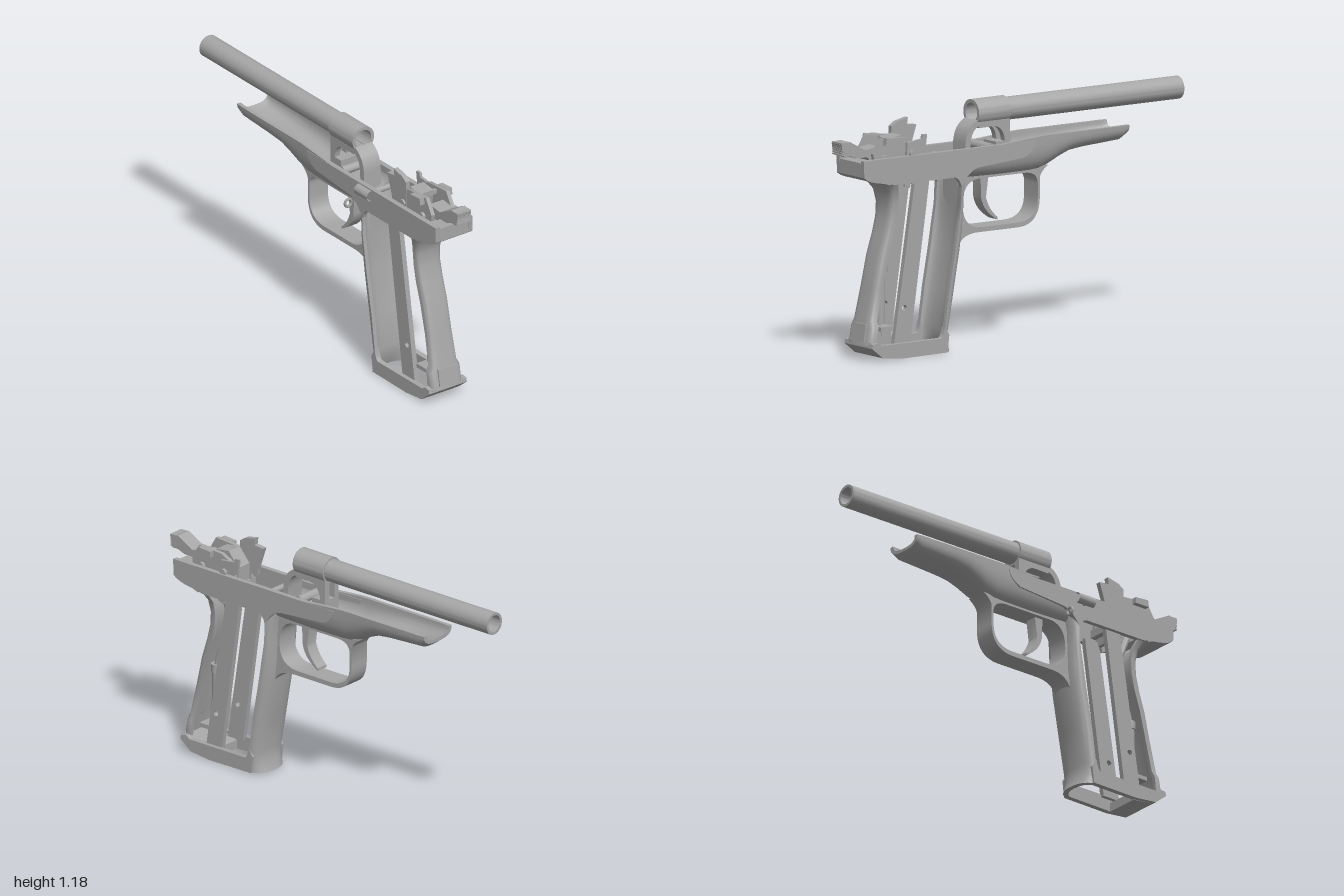
import * as THREE from 'three';
import { toCreasedNormals } from 'three/addons/utils/BufferGeometryUtils.js';

const CX = 0.02; // middle plane of the body
const steel = new THREE.MeshStandardMaterial({ color: 0xa6a6a6, side: THREE.DoubleSide });
steel.name = 'grey steel';

export function createModel() {
  const group = new THREE.Group();
  group.name = 'pistolFrame';

  const add = (name, geo, crease = 0.6) => {
    const m = new THREE.Mesh(toCreasedNormals(geo, crease), steel);
    m.name = name;
    group.add(m);
    return m;
  };

  // Outline in (z, y): [z, y] is a line, [cz, cy, z, y] a quadratic curve
  const trace = (path, pts) => {
    pts.forEach((p, i) => {
      if (i === 0) path.moveTo(p[0], p[1]);
      else if (p.length === 2) path.lineTo(p[0], p[1]);
      else path.quadraticCurveTo(...p);
    });
    path.closePath();
    return path;
  };

  // Side outline extruded across x, from x0 to x1 relative to the middle plane
  const side = (name, x0, x1, pts, holes = []) => {
    const shape = trace(new THREE.Shape(), pts);
    holes.forEach(h => shape.holes.push(Array.isArray(h) ? trace(new THREE.Path(), h) : h));
    const geo = new THREE.ExtrudeGeometry(shape, { depth: x1 - x0, bevelEnabled: false, curveSegments: 14 });
    geo.rotateY(-Math.PI / 2).translate(CX + x1, 0, 0);
    return add(name, geo);
  };
  const pair = (name, x0, x1, pts, holes) => {
    side(name + 'Left', x0, x1, pts, holes);
    side(name + 'Right', -x1, -x0, pts, holes);
  };
  const box = (name, x0, x1, y0, y1, z0, z1) => add(name,
    new THREE.BoxGeometry(x1 - x0, y1 - y0, z1 - z0).translate(CX + (x0 + x1) / 2, (y0 + y1) / 2, (z0 + z1) / 2));
  const pin = (name, r, x0, x1, y, z) => add(name,
    new THREE.CylinderGeometry(r, r, x1 - x0, 20).rotateZ(Math.PI / 2).translate(CX + (x0 + x1) / 2, y, z));

  // Loft of U-shaped sections: each ring runs along the outside, then back along the inside
  const loft = (name, rings) => {
    const n = rings[0].length, idx = [];
    for (let r = 0; r < rings.length - 1; r++)
      for (let i = 0; i < n; i++) {
        const a = r * n + i, b = r * n + (i + 1) % n;
        idx.push(a, b, a + n, b, b + n, a + n);
      }
    [0, (rings.length - 1) * n].forEach((o, e) => {
      for (let i = 0; i < n / 2 - 1; i++) {
        const q = [o + i, o + i + 1, o + n - 2 - i, o + n - 1 - i];
        idx.push(...(e ? [q[0], q[1], q[2], q[0], q[2], q[3]] : [q[2], q[1], q[0], q[3], q[2], q[0]]));
      }
    });
    const geo = new THREE.BufferGeometry();
    geo.setAttribute('position', new THREE.Float32BufferAttribute(rings.flat(2), 3));
    geo.setIndex(idx);
    return add(name, geo, 0.7);
  };
  // U curve: width w, reaching from edge to tip; returns [across, depth] pairs
  const uCurve = (w, edge, tip, power) => {
    const out = [], N = 20;
    for (let i = 0; i <= N; i++) {
      const a = Math.PI * i / N, c = Math.cos(a), s = Math.abs(Math.sin(a));
      out.push([CX + w * Math.sign(c) * Math.abs(c) ** power, edge + (tip - edge) * s ** power]);
    }
    return out;
  };

  // Upright straps, stations [y, outer z, edge z, half width]
  const strap = (name, stations, wall, power) => loft(name, stations.map(([y, tip, edge, w]) => {
    const inner = tip + Math.sign(edge - tip) * wall;
    return [...uCurve(w, edge, tip, power), ...uCurve(w - 0.02, edge, inner, power).reverse()]
      .map(([x, z]) => [x, y, z]);
  }));
  strap('frontStrap', [
    [0.88, 0.28, 0.35, 0.11], [0.8, 0.305, 0.345, 0.11], [0.7, 0.31, 0.35, 0.11], [0.6, 0.312, 0.367, 0.11],
    [0.5, 0.325, 0.383, 0.11], [0.3, 0.36, 0.42, 0.11], [0.12, 0.398, 0.445, 0.11],
    [0.06, 0.392, 0.46, 0.11], [0.015, 0.375, 0.47, 0.11]], 0.025, 0.85);
  strap('backStrap', [
    [0.88, 0.86, 0.74, 0.11], [0.85, 0.775, 0.71, 0.1], [0.81, 0.745, 0.695, 0.08], [0.75, 0.732, 0.69, 0.072],
    [0.68, 0.737, 0.695, 0.07], [0.6, 0.758, 0.712, 0.07], [0.5, 0.79, 0.745, 0.07], [0.35, 0.823, 0.782, 0.07],
    [0.2, 0.857, 0.815, 0.075], [0.17, 0.864, 0.82, 0.09], [0.085, 0.88, 0.83, 0.09]], 0.025, 0.5);

  // Open trough under the barrel, stations [z, bottom y, floor y, top y, half width]
  loft('dustCover', [
    [-0.645, 0.945, 0.96, 0.998, 0.1], [-0.61, 0.92, 0.94, 0.998, 0.103], [-0.4, 0.907, 0.927, 0.998, 0.105],
    [-0.32, 0.897, 0.92, 0.998, 0.105], [-0.26, 0.873, 0.915, 0.998, 0.105], [-0.2, 0.843, 0.91, 0.998, 0.105],
    [-0.14, 0.823, 0.9, 0.998, 0.106], [-0.08, 0.82, 0.9, 0.995, 0.108], [0.1, 0.82, 0.9, 0.98, 0.109],
    [0.3, 0.825, 0.9, 0.98, 0.109]].map(([z, bottom, floor, top, w]) =>
    [...uCurve(w, top, bottom, 0.75), ...uCurve(w - 0.02, top, floor, 0.75).reverse()]
      .map(([x, y]) => [x, y, z])));

  // Flat side rails
  pair('sideRail', 0.085, 0.11, [
    [0.92, 0.98], [-0.09, 0.98], [-0.08, 0.93, -0.02, 0.905], [0.24, 0.885], [0.3, 0.88, 0.345, 0.8],
    [0.36, 0.85, 0.39, 0.85], [0.74, 0.85], [0.8, 0.865], [0.88, 0.875, 0.917, 0.9]]);
  side('tang', -0.11, 0.11, [[0.917, 0.968], [0.917, 0.9], [0.89, 0.872, 0.8, 0.862], [0.765, 0.85], [0.74, 0.88], [0.78, 0.968]]);

  // Grip: inner walls, lower band and heel
  const rivetHole = new THREE.Path().absarc(0.668, 0.25, 0.014, 0, Math.PI * 2);
  pair('gripWall', 0.065, 0.09, [[0.52, 0.86], [0.605, 0.86], [0.73, 0.07], [0.635, 0.07]], [rivetHole]);
  pair('lowerBand', 0.085, 0.112, [
    [0.43, 0.015], [0.69, 0.012], [0.81, 0.025], [0.872, 0.075], [0.868, 0.095], [0.835, 0.1],
    [0.815, 0.085], [0.47, 0.085], [0.455, 0.085, 0.445, 0.14], [0.42, 0.1]]);
  side('heelBlock', -0.09, 0.09, [[0.69, 0.01], [0.81, 0.025], [0.872, 0.075], [0.868, 0.1], [0.81, 0.085], [0.69, 0.055]]);
  side('heelLatch', -0.055, 0.055, [[0.86, 0.1], [0.882, 0.1], [0.867, 0.185], [0.835, 0.185]]);
  box('wellCrossbar', -0.085, 0.085, 0.84, 0.9, 0.6, 0.62);

  // Trigger guard and trigger
  side('triggerGuard', -0.055, 0.055, [
    [0.335, 0.84], [0.335, 0.49], [0.31, 0.56, 0.22, 0.562], [-0.02, 0.562], [-0.152, 0.562, -0.152, 0.7],
    [-0.152, 0.79], [-0.16, 0.82, -0.2, 0.845]], [[
    [0.3, 0.7], [0.3, 0.585, 0.18, 0.585], [-0.02, 0.585], [-0.14, 0.585, -0.14, 0.7], [-0.14, 0.76],
    [-0.14, 0.82, -0.06, 0.82], [0.2, 0.82], [0.3, 0.82, 0.3, 0.7]]]);
  side('trigger', -0.032, 0.032, [
    [0.18, 0.84], [0.175, 0.72], [0.16, 0.65, 0.08, 0.608], [0.08, 0.62], [0.13, 0.66, 0.147, 0.72], [0.13, 0.84]]);

  // Barrel and breech
  const tube = (name, ro, ri, z0, z1) => add(name, new THREE.LatheGeometry(
    [[ri, z0], [ro, z0], [ro, z1], [ri, z1], [ri, z0]].map(p => new THREE.Vector2(...p)), 40)
    .rotateX(Math.PI / 2).translate(CX, 1.13, 0));
  tube('barrel', 0.055, 0.042, -1, 0.1);
  tube('breech', 0.064, 0.047, 0.02, 0.21);
  side('feedRamp', -0.05, 0.05, [
    [0.285, 0.86], [0.28, 0.99], [0.275, 1.07, 0.21, 1.1], [0.19, 1.075], [0.245, 1.06, 0.25, 0.99], [0.255, 0.86]]);
  pair('barrelLug', 0.018, 0.05, [
    [0.21, 1.09], [0.02, 1.09], [0.02, 0.9], [0.05, 0.9], [0.05, 0.99], [0.06, 1.06, 0.12, 1.062], [0.2, 1.06]]);
  box('lugBlock', -0.05, 0.05, 0.9, 0.985, 0.02, 0.1);
  pin('lugPin', 0.022, -0.085, 0.085, 0.965, 0.155);

  // Hammer with a ribbed spur
  side('hammer', -0.04, 0.04, [
    [1, 1.06], [0.95, 1.068], [0.86, 1.02], [0.78, 1.03], [0.73, 0.99], [0.75, 0.94], [0.8, 0.93],
    [0.85, 0.985], [0.91, 0.985], [0.95, 1.0], [0.985, 1.0]]);
  for (let i = 0; i < 6; i++)
    box('spurRib', -0.04, 0.04, 1.005 + i * 0.011, 1.011 + i * 0.011, 0.97, 0.998);
  pin('hammerPin', 0.018, -0.085, 0.085, 0.975, 0.77);

  // Lockwork housing above the rails
  pair('lockPlate', 0.05, 0.07, [
    [0.82, 0.9], [0.835, 1.0], [0.79, 1.075], [0.65, 1.065], [0.6, 1.04], [0.57, 0.98], [0.57, 0.9]]);
  pair('lockLug', 0.07, 0.096, [[0.78, 1.04], [0.775, 1.075], [0.7, 1.07], [0.7, 1.04]]);
  side('sear', -0.05, 0.03, [[0.7, 0.92], [0.72, 1.06], [0.64, 1.07], [0.58, 1.0], [0.58, 0.92]]);
  side('ejector', -0.075, -0.05, [
    [0.64, 0.95], [0.64, 1.1], [0.61, 1.12], [0.545, 1.135], [0.55, 1.1], [0.495, 1.095], [0.53, 0.99], [0.535, 0.95]]);
  side('disconnector', 0.07, 0.084, [
    [0.66, 0.83], [0.645, 1.04], [0.56, 1.05], [0.555, 1.07], [0.53, 1.07], [0.54, 0.99], [0.6, 0.98], [0.63, 0.82]]);
  pin('searPin', 0.018, -0.085, 0.1, 0.985, 0.62);
  box('lockBridge', -0.05, 0.05, 1.035, 1.055, 0.7, 0.72);
  box('lockFloor', -0.085, 0.085, 0.88, 0.92, 0.57, 0.62);

  // Hammer strut and mainspring
  const strut = new THREE.CatmullRomCurve3([[0.92, 0.735], [0.84, 0.7], [0.73, 0.664], [0.6, 0.68], [0.5, 0.725], [0.42, 0.74]]
    .map(([y, z]) => new THREE.Vector3(CX, y, z)));
  add('hammerStrut', new THREE.TubeGeometry(strut, 30, 0.017, 10));
  const rod = (name, r, y0, y1, z) => add(name,
    new THREE.CylinderGeometry(r, r, y1 - y0, 16).translate(CX, (y0 + y1) / 2, z));
  rod('springSleeve', 0.022, 0.17, 0.42, 0.742).position.z = 0;
  rod('springCap', 0.03, 0.42, 0.46, 0.738);
  rod('springTip', 0.012, 0.11, 0.17, 0.752);
  box('springSeat', -0.07, 0.07, 0.145, 0.165, 0.715, 0.79);

  // Small catches on the right side
  add('catchRing', new THREE.TorusGeometry(0.019, 0.007, 10, 24).translate(-0.112, 0.855, 0.265), 1.5);
  add('leverHook', new THREE.CylinderGeometry(0.026, 0.026, 0.1, 16, 1, true, Math.PI * 0.9, Math.PI * 1.1)
    .rotateX(Math.PI / 2).translate(-0.095, 0.948, 0.37), 1.5);
  pin('leverPin', 0.015, -0.12, 0.085, 0.935, 0.37);

  return group;
}
